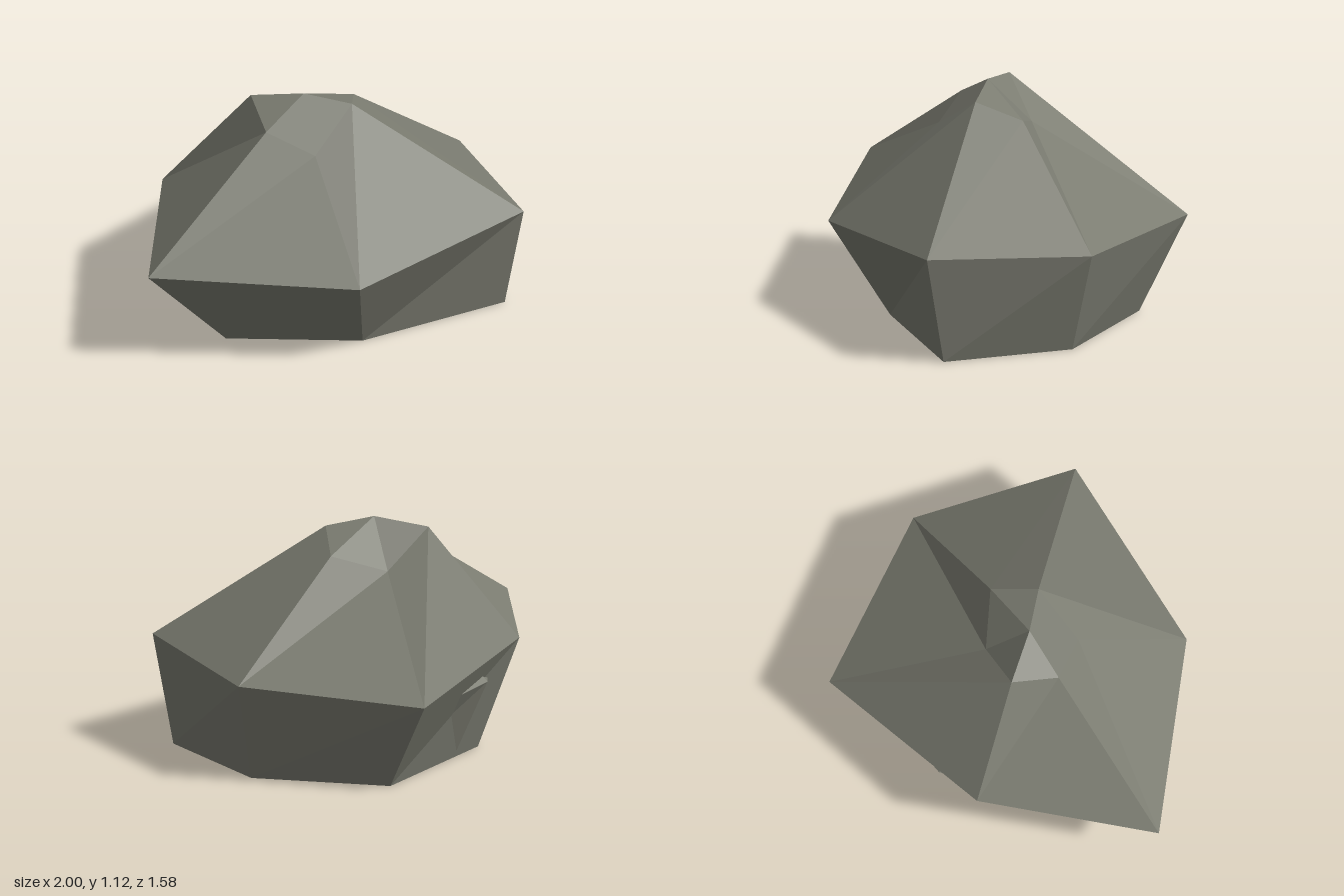
import * as THREE from 'three';

// Join six-point rings, listed from top to bottom, under a single peak
function skin(peak, rings) {
  const out = [];
  const tri = (...points) => points.forEach((p) => out.push(...p));
  for (let i = 0; i < 6; i++) {
    const j = (i + 5) % 6;
    tri(peak, rings[0][i], rings[0][j]);
    for (let r = 0; r + 1 < rings.length; r++) {
      const a = rings[r], b = rings[r + 1];
      tri(a[i], b[i], a[j]);
      tri(b[i], b[j], a[j]);
    }
  }
  const geo = new THREE.BufferGeometry();
  geo.setAttribute('position', new THREE.Float32BufferAttribute(out, 3));
  geo.computeVertexNormals();
  return geo;
}

export function createModel() {
  const stone = new THREE.MeshStandardMaterial({
    color: 0x7b7c71, flatShading: true, side: THREE.DoubleSide,
  });
  stone.name = 'stone';

  // Each ring runs from +x through +z, -x and -z
  const crown = [[0.34, 1, 0], [0.18, 1.08, 0.17], [-0.09, 0.91, 0.21],
    [-0.22, 1, 0], [-0.13, 1.08, -0.215], [0.13, 0.91, -0.18]];
  const waist = [[1, 0.5, 0.02], [0.735, 0.54, 0.79], [-0.26, 0.455, 0.73],
    [-1, 0.5, 0.03], [-0.365, 0.54, -0.59], [0.57, 0.455, -0.79]];
  const base = [[0.87, 0, 0.05], [0.71, 0, 0.68], [-0.05, 0, 0.51],
    [-0.53, 0, 0.06], [-0.21, 0, -0.46], [0.53, 0, -0.54]];

  // Smaller open stone of the same form inside; one corner breaks through the back
  const innerCrown = [[0.36, 0.72, -0.02], [0.215, 0.78, 0.09], [0, 0.655, 0.09],
    [-0.075, 0.72, -0.085], [0.02, 0.78, -0.24], [0.22, 0.655, -0.185]];
  const innerWaist = [[0.84, 0.36, 0.1], [0.56, 0.39, 0.68], [-0.13, 0.33, 0.495],
    [-0.57, 0.365, -0.2], [-0.095, 0.39, -0.62], [0.59, 0.34, -0.645]];
  const innerBase = [[0.72, 0, 0.096], [0.555, 0, 0.593], [0.035, 0, 0.362],
    [-0.275, 0, -0.09], [-0.01, 0, -0.478], [0.53, 0, -0.455]];

  const group = new THREE.Group();
  group.name = 'rock';
  const shell = new THREE.Mesh(skin([0.02, 1.125, 0], [crown, waist, base]), stone);
  shell.name = 'outerShell';
  const inner = new THREE.Mesh(
    skin([0.11, 0.81, -0.06], [innerCrown, innerWaist, innerBase]), stone);
  inner.name = 'innerStone';
  group.add(shell, inner);
  return group;
}
